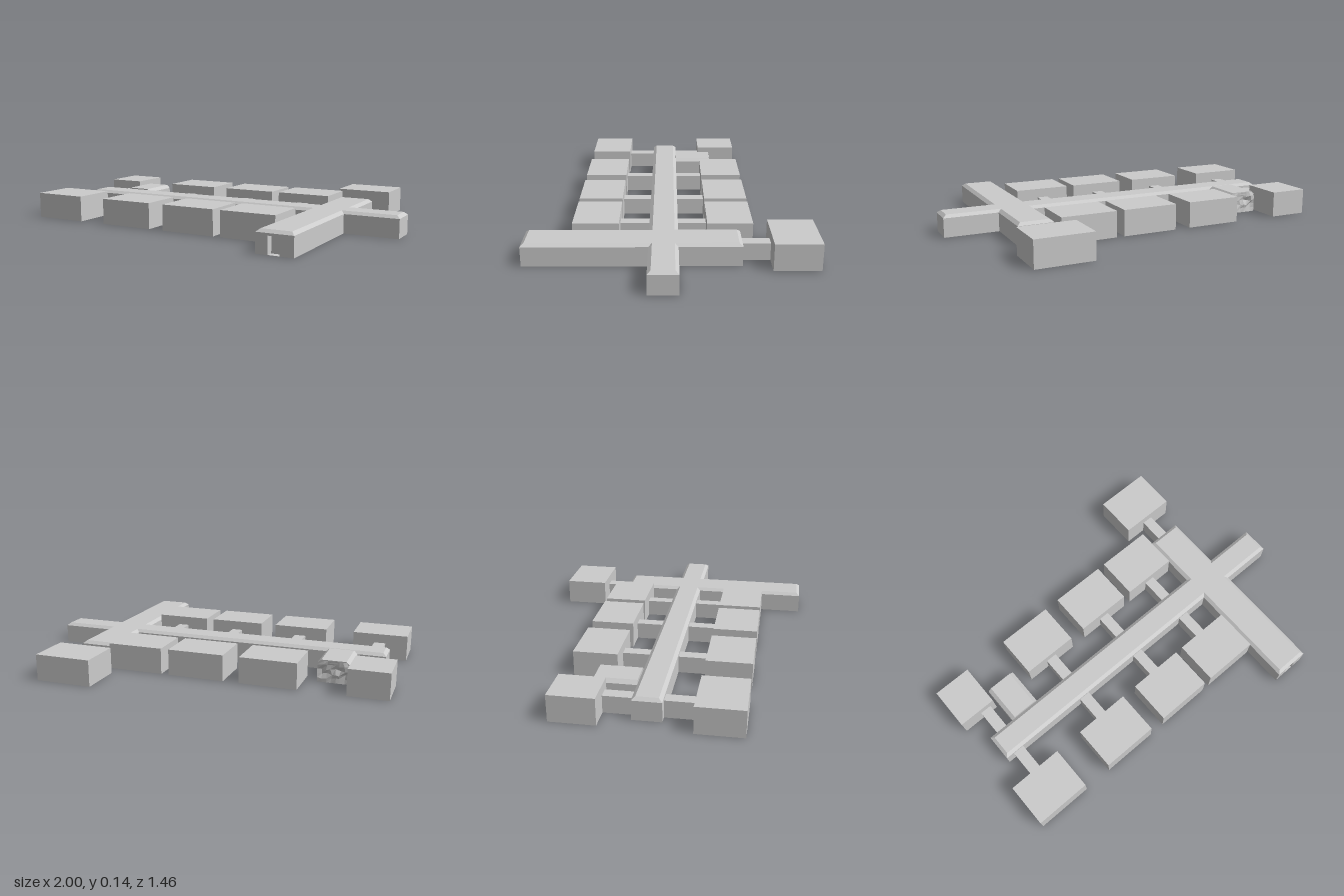
import * as THREE from 'three';

const grey = new THREE.MeshStandardMaterial({ color: 0xcccccc, flatShading: true });
const inside = new THREE.MeshStandardMaterial({ color: 0xcccccc, flatShading: true, side: THREE.BackSide });
const open = new THREE.MeshStandardMaterial({ color: 0xcccccc, flatShading: true, side: THREE.DoubleSide });

function add(parent, name, geometry, material = grey) {
  const mesh = new THREE.Mesh(geometry, material);
  mesh.name = name;
  parent.add(mesh);
  return mesh;
}

// Box given by its extents, standing on the ground
function block(parent, name, x0, x1, z0, z1, h, material) {
  const g = new THREE.BoxGeometry(x1 - x0, h, z1 - z0);
  g.translate((x0 + x1) / 2, h / 2, (z0 + z1) / 2);
  return add(parent, name, g, material);
}

// Upright walls on an outline, a chamfer above them, then a flat roof.
// outline(inset) returns [x, z] corners; walls listed in skip stay open.
function chamferedHall(outline, wallH, topH, inset, skip = []) {
  const base = outline(0), roof = outline(inset), pos = [];
  const n = base.length;
  const ring = (pts, y) => pts.map(([x, z]) => [x, y, z]);
  const tri = (...p) => p.forEach((v) => pos.push(...v));
  const r0 = ring(base, 0), r1 = ring(base, wallH), r2 = ring(roof, topH);
  const quads = (a, b, open) => {
    for (let i = 0; i < n; i++) {
      if (open.includes(i)) continue;
      const j = (i + 1) % n;
      tri(a[i], a[j], b[j]);
      tri(a[i], b[j], b[i]);
    }
  };
  quads(r0, r1, skip);
  quads(r1, r2, []);
  const up = (p, q, r) => (q[2] - p[2]) * (r[0] - p[0]) - (q[0] - p[0]) * (r[2] - p[2]) > 0;
  const cap = (r, faceUp) => {
    const flat = r.map((p) => new THREE.Vector2(p[0], p[2]));
    for (const [a, b, c] of THREE.ShapeUtils.triangulateShape(flat, [])) {
      if (up(r[a], r[b], r[c]) === faceUp) tri(r[a], r[b], r[c]);
      else tri(r[a], r[c], r[b]);
    }
  };
  cap(r2, true);
  cap(r0, false);
  const g = new THREE.BufferGeometry();
  g.setAttribute('position', new THREE.Float32BufferAttribute(pos, 3));
  g.computeVertexNormals();
  return g;
}

// Crossing corridors: one along x, one along z
const A = { x0: -0.925, x1: 1, z0: -0.04, z1: 0.107 };
const B = { x0: 0.515, x1: 0.708, z0: -0.353, z1: 0.727 };
function crossOutline(d) {
  const [ax0, ax1, az0, az1] = [A.x0 + d, A.x1 - d, A.z0 + d, A.z1 - d];
  const [bx0, bx1, bz0, bz1] = [B.x0 + d, B.x1 - d, B.z0 + d, B.z1 - d];
  return [
    [bx0, bz1], [bx1, bz1], [bx1, az1], [ax1, az1], [ax1, az0], [bx1, az0],
    [bx1, bz0], [bx0, bz0], [bx0, az0], [ax0, az0], [ax0, az1], [bx0, az1],
  ];
}

export function createModel() {
  const model = new THREE.Group();
  model.name = 'corridorComplex';

  // Main crossing corridors, front end left open for the doorway
  add(model, 'corridors', chamferedHall(crossOutline, 0.102, 0.117, 0.018, [0]));

  // Front end wall with its door opening and the recess behind it
  const wall = new THREE.Shape([
    [B.x0, 0], [B.x1, 0], [B.x1, 0.102], [B.x0, 0.102],
  ].map((p) => new THREE.Vector2(...p)));
  wall.holes.push(new THREE.Path([
    [0.577, 0.001], [0.577, 0.09], [0.638, 0.09], [0.638, 0.001],
  ].map((p) => new THREE.Vector2(...p))));
  add(model, 'entranceWall', new THREE.ShapeGeometry(wall).translate(0, 0, B.z1));
  block(model, 'entranceRecess', 0.577, 0.638, B.z1 - 0.04, B.z1, 0.09, inside);

  // Rooms on both sides, each joined to the corridor by a passage
  const bays = [
    { x0: -1, x1: -0.698, back: -0.79, p0: -0.88, p1: -0.817 },
    { x0: -0.54, x1: -0.235, back: -0.235, p0: -0.417, p1: -0.355 },
    { x0: -0.148, x1: 0.157, back: 0.157, p0: -0.027, p1: 0.033 },
    { x0: 0.2, x1: 0.505, back: 0.505, p0: 0.323, p1: 0.382 },
  ];
  for (const b of bays) {
    block(model, 'frontRoom', b.x0, b.x1, 0.26, 0.497, 0.14);
    block(model, 'backRoom', b.x0, b.back, -0.42, -0.187, 0.14);
    block(model, 'frontPassage', b.p0, b.p1, A.z1, 0.26, 0.09);
    block(model, 'backPassage', b.p0, b.p1, -0.187, A.z0, 0.09);
  }
  block(model, 'endRoom', 0.457, 0.762, -0.73, -0.495, 0.14);
  block(model, 'endPassage', 0.577, 0.638, -0.495, B.z0, 0.09);

  // Short side corridor with chamfered long edges
  const stub = (d) => [[-0.775 + d, -0.04], [-0.605 - d, -0.04], [-0.605 - d, -0.255], [-0.775 + d, -0.255]];
  add(model, 'collapsedCorridor', chamferedHall(stub, 0.102, 0.12, 0.02, [2]));

  // Rubble closing its far end: a grid pushed in and out by a seeded rule
  let seed = 7;
  const rand = () => (seed = (seed * 16807) % 2147483647) / 2147483647;
  const rubble = new THREE.PlaneGeometry(0.168, 0.115, 7, 5).rotateY(Math.PI);
  rubble.translate(-0.69, 0.0575, -0.256);
  const p = rubble.attributes.position;
  for (let i = 0; i < p.count; i++) {
    const inner = Math.abs(p.getX(i) + 0.69) < 0.08 && p.getY(i) > 0.005 && p.getY(i) < 0.11;
    if (p.getY(i) > 0.11) p.setX(i, -0.69 + (p.getX(i) + 0.69) * 0.8);
    if (!inner) continue;
    p.setX(i, p.getX(i) + (rand() - 0.5) * 0.014);
    p.setY(i, p.getY(i) + (rand() - 0.5) * 0.012);
    p.setZ(i, -0.265 + rand() * 0.02);
  }
  rubble.computeVertexNormals();
  add(model, 'rubble', rubble, open);

  return model;
}
